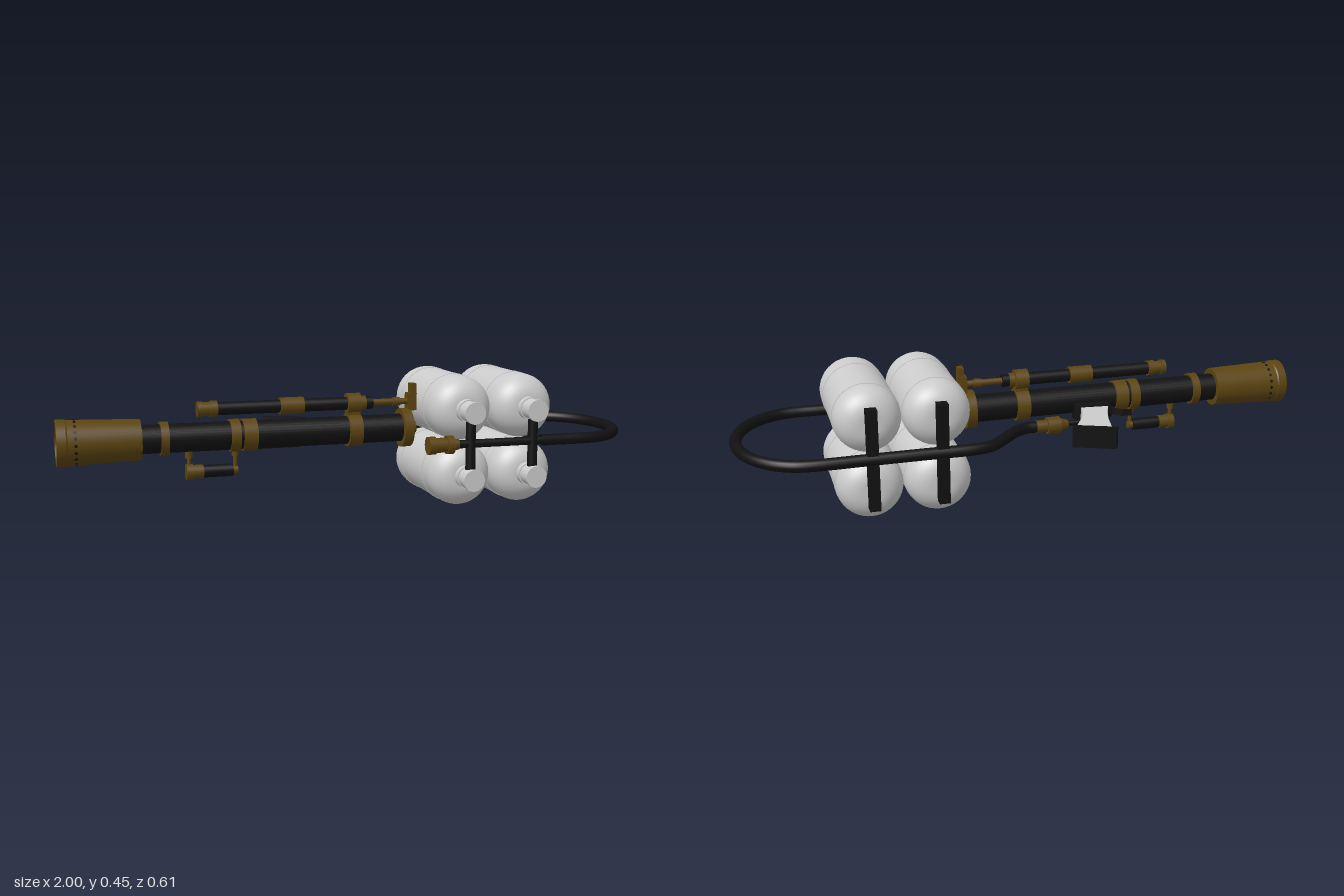
import * as THREE from 'three';

const mat = (color) => new THREE.MeshStandardMaterial({ color, side: THREE.DoubleSide });
const V = (x, y, z) => new THREE.Vector3(x, y, z);

export function createModel() {
  const model = new THREE.Group();
  const grey = mat(0xcccccc), brass = mat(0x5c4410), black = mat(0x111111);

  const add = (name, geo, material, parent = model) => {
    const m = new THREE.Mesh(geo, material);
    m.name = name;
    parent.add(m);
    return m;
  };
  const box = (name, x0, x1, y0, y1, z0, z1, material) =>
    add(name, new THREE.BoxGeometry(x1 - x0, y1 - y0, z1 - z0), material)
      .position.set((x0 + x1) / 2, (y0 + y1) / 2, (z0 + z1) / 2);
  // Cylinder along x, with radius r0 at x0 and r1 at x1
  const rodX = (name, x0, x1, r0, y, z, material, r1 = r0) => {
    const geo = new THREE.CylinderGeometry(r0, r1, x1 - x0, 32).rotateZ(Math.PI / 2);
    add(name, geo, material).position.set((x0 + x1) / 2, y, z);
  };
  const rodY = (name, x, y0, y1, z, r, material) =>
    add(name, new THREE.CylinderGeometry(r, r, y1 - y0, 20), material).position.set(x, (y0 + y1) / 2, z);
  const hose = (name, points, r, material, segments = 120) =>
    add(name, new THREE.TubeGeometry(new THREE.CatmullRomCurve3(points), segments, r, 16), material);

  // Main barrel and its clamps
  const BY = 0.264, BZ = 0.047;
  rodX('barrel', -0.78, 0.19, 0.048, BY, BZ, black);
  for (const [x0, x1, r] of [[-0.667, -0.64, 0.056], [-0.435, -0.402, 0.055], [-0.392, -0.345, 0.054],
    [-0.027, 0.02, 0.057], [0.167, 0.2, 0.067]]) rodX('barrelRing', x0, x1, r, BY, BZ, brass);
  rodX('barrelEndPlug', 0.2, 0.222, 0.022, BY, BZ, brass);

  // Flared hollow nozzle with a ring of vent holes
  const noz = [[0.046, 0], [0.068, 0], [0.0745, 0.235], [0.077, 0.24], [0.077, 0.27], [0.066, 0.27], [0.06, 0.14], [0, 0.14]];
  // Repeated corner points keep the edges sharp
  const sharp = noz.flatMap(([r, h]) => [new THREE.Vector2(r, h), new THREE.Vector2(r, h)]);
  add('nozzle', new THREE.LatheGeometry(sharp, 40).rotateZ(Math.PI / 2), brass).position.set(-0.73, BY, BZ);
  for (let i = 0; i < 20; i++) {
    const a = (i / 20) * Math.PI * 2;
    const vent = add('ventHole', new THREE.CylinderGeometry(0.005, 0.005, 0.004, 10), black);
    vent.position.set(-0.94, BY + Math.cos(a) * 0.0735, BZ + Math.sin(a) * 0.0735);
    vent.rotation.x = a;
  }

  // Slim upper tube
  const UY = 0.356;
  rodX('upperTube', -0.53, 0.065, 0.022, UY, BZ, black);
  for (const [x0, x1, r] of [[-0.542, -0.525, 0.026], [-0.525, -0.5, 0.023], [-0.5, -0.475, 0.027],
    [-0.262, -0.18, 0.029], [-0.027, 0.02, 0.035], [0.02, 0.04, 0.024]]) rodX('upperTubeRing', x0, x1, r, UY, BZ, brass);
  box('tubeClamp', -0.025, 0.018, 0.29, 0.345, BZ - 0.02, BZ + 0.02, brass);
  rodX('upperTubeStem', 0.06, 0.2, 0.011, UY, BZ, brass);
  rodX('stemCollar', 0.14, 0.165, 0.015, UY, BZ, brass);
  box('valveBody', 0.192, 0.222, 0.325, 0.385, BZ - 0.02, BZ + 0.02, brass);
  box('valveLever', 0.202, 0.222, 0.38, 0.418, BZ - 0.016, BZ + 0.016, brass);

  // Small pilot tube hung under the barrel
  const PY = 0.147;
  rodX('pilotTip', -0.582, -0.56, 0.027, PY, BZ, brass);
  rodX('pilotSleeve', -0.56, -0.525, 0.023, PY, BZ, brass);
  rodX('pilotTube', -0.525, -0.425, 0.021, PY, BZ, black);
  rodX('pilotEnd', -0.43, -0.408, 0.014, PY, BZ, brass);
  for (const x of [-0.572, -0.416]) {
    rodY('pilotPost', x, PY, 0.225, BZ, 0.007, brass);
    rodY('pilotPostCollar', x, 0.195, 0.222, BZ, 0.012, brass);
  }

  // Raked grip: outlines in plan (x, -z), given a height in y
  const plan = (name, pts, y0, y1, material) => {
    const shape = new THREE.Shape(pts.map(([x, z]) => new THREE.Vector2(x, -z)));
    const geo = new THREE.ExtrudeGeometry(shape, { depth: y1 - y0, bevelEnabled: false });
    add(name, geo.rotateX(-Math.PI / 2), material).position.y = y0;
  };
  plan('gripMount', [[-0.345, 0.02], [-0.185, 0.02], [-0.185, -0.012], [-0.2, -0.04], [-0.3, -0.05], [-0.315, -0.02]], 0.208, 0.264, black);
  plan('grip', [[-0.3, -0.04], [-0.2, -0.03], [-0.19, -0.085], [-0.165, -0.145], [-0.11, -0.24], [-0.235, -0.29],
    [-0.235, -0.25], [-0.25, -0.18], [-0.27, -0.11]], 0.211, 0.261, grey);
  plan('gripCap', [[-0.245, -0.285], [-0.232, -0.306], [-0.097, -0.25], [-0.107, -0.227]], 0.2, 0.27, black);
  plan('trigger', [[-0.38, -0.062], [-0.375, -0.07], [-0.34, -0.066], [-0.315, -0.045], [-0.308, 0.005],
    [-0.325, 0.005], [-0.326, -0.035], [-0.345, -0.055]], 0.225, 0.246, black);

  // Twin pairs of tanks lying along z
  const R = 0.111, C = 0.08, HY = 0.234, HZ = 0.268;
  const body = [new THREE.Vector2(0, -0.243)];
  for (let i = 0; i <= 10; i++) {
    const a = (i / 10) * Math.PI / 2;
    body.push(new THREE.Vector2(R - C + Math.sin(a) * C, -0.243 + C - Math.cos(a) * C));
  }
  for (let i = 0; i <= 10; i++) {
    const a = (i / 10) * Math.PI / 2;
    body.push(new THREE.Vector2(R - C + Math.cos(a) * C, 0.228 - C + Math.sin(a) * C));
  }
  body.push(new THREE.Vector2(0, 0.228));
  const tankGeo = new THREE.LatheGeometry(body, 40).rotateX(Math.PI / 2);
  for (const x of [0.343, 0.57]) {
    for (const y of [0.114, 0.341]) {
      const tank = new THREE.Group();
      tank.name = 'tank';
      tank.position.set(x, y, 0);
      model.add(tank);
      add('tankBody', tankGeo, grey, tank);
      for (const [name, z0, z1, r] of [['tankBand', 0.075, 0.1, 0.1125], ['tankBand', -0.151, -0.118, 0.1125],
        ['neckBase', 0.22, 0.25, 0.039], ['neck', 0.25, 0.293, 0.035], ['neckCap', 0.293, 0.308, 0.037]])
        add(name, new THREE.CylinderGeometry(r, r, z1 - z0, 40).rotateX(Math.PI / 2), grey, tank).position.z = (z0 + z1) / 2;
    }
    rodY('neckPipe', x, 0.146, 0.307, HZ, 0.017, black);
    box('backBar', x - 0.018, x + 0.018, 0.06, 0.4, -0.277, -0.242, black);
  }

  // Feed pipe with its end fitting, then the hose looping round to the grip
  rodX('feedFitting', 0.19, 0.215, 0.03, HY, HZ, brass);
  rodX('feedFitting', 0.215, 0.255, 0.025, HY, HZ, brass);
  rodX('feedFitting', 0.255, 0.278, 0.031, HY, HZ, brass);
  rodX('feedFitting', 0.278, 0.298, 0.018, HY, HZ, brass);
  rodX('feedPipe', 0.29, 0.63, 0.014, HY, HZ, black);
  const loop = [V(0.6, HY, HZ), V(0.68, HY, HZ)];
  for (let i = 0; i <= 12; i++) {
    const a = (i / 12) * Math.PI;
    loop.push(V(0.755 + Math.sin(a) * 0.224, HY, 0.002 + Math.cos(a) * 0.266));
  }
  loop.push(V(0.6, HY, -0.264), V(0.4, HY, -0.264), V(0.23, HY, -0.264), V(0.18, HY, -0.25),
    V(0.12, HY, -0.195), V(0.065, HY, -0.14), V(0.03, HY, -0.119), V(-0.02, HY, -0.114));
  hose('hose', loop, 0.0195, black, 180);
  rodX('hoseCollar', -0.05, -0.012, 0.021, HY, -0.114, brass);
  rodX('hoseNut', -0.095, -0.05, 0.029, HY, -0.114, brass);
  rodX('hoseTaper', -0.125, -0.095, 0.013, HY, -0.114, brass, 0.024);
  rodX('gripInlet', -0.2, -0.12, 0.009, HY, -0.11, black);

  return model;
}
